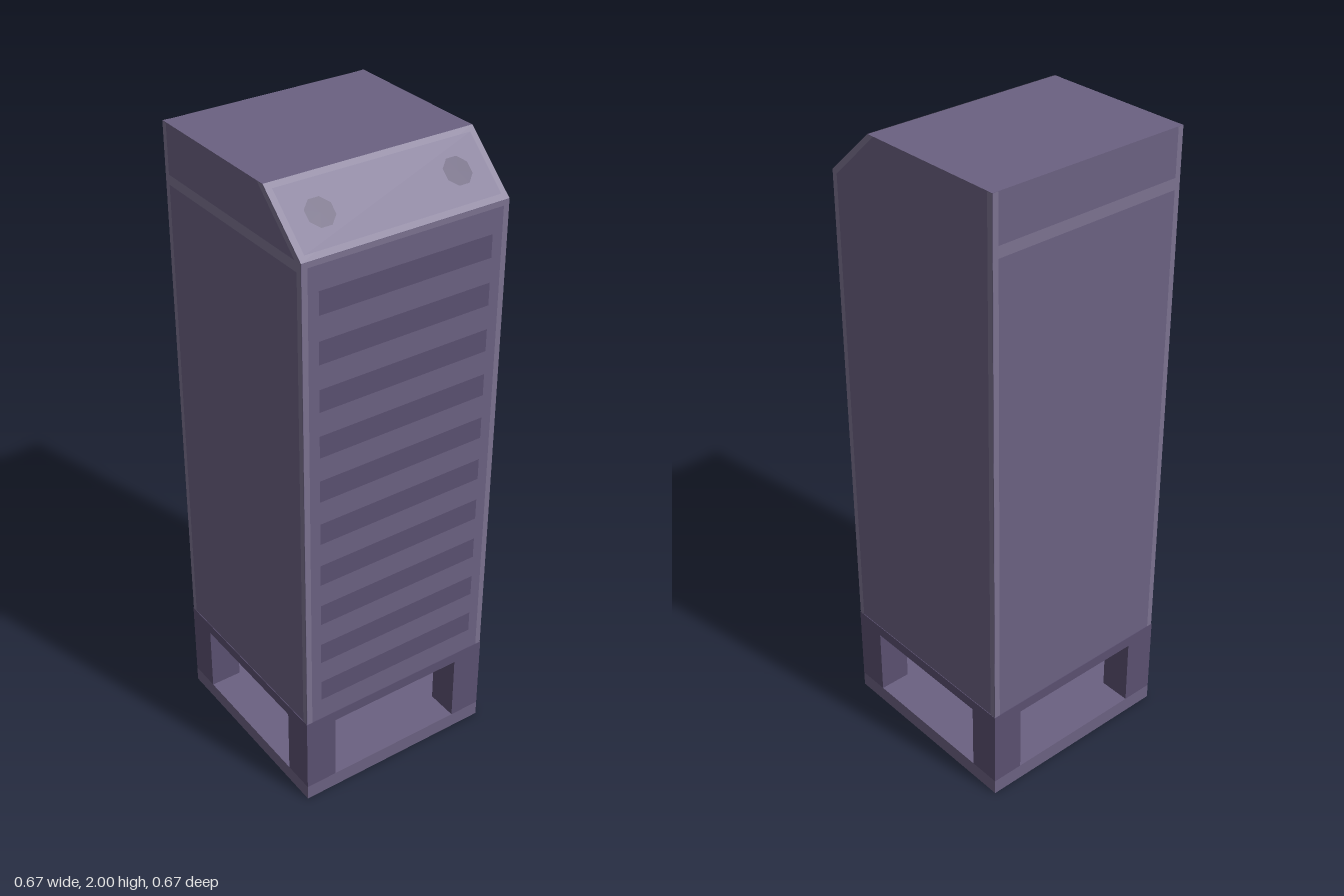
import * as THREE from 'three';

const HALF = 0.331;       // half width of the cabinet
const FOOT = 0.333;       // half width of the stand
const Y0 = 0.31, YS = 1.85, TOP = 2, ZS = 0.164; // body bottom, slope start, top, slope end
const LIFT = 0.0015;      // inlays sit just proud of the surface

const mat = (color) => new THREE.MeshStandardMaterial({ color, flatShading: true, side: THREE.DoubleSide });

export function createModel() {
  const model = new THREE.Group();
  const body = mat(0x6b6181), trim = mat(0x7b7290), dark = mat(0x5a5070), panelMat = mat(0x72688a);

  const add = (name, geometry, material, parent = model) => {
    const mesh = new THREE.Mesh(geometry, material);
    mesh.name = name;
    parent.add(mesh);
    return mesh;
  };
  const box = (name, w, h, d, x, y, z, material) =>
    add(name, new THREE.BoxGeometry(w, h, d), material).position.set(x, y, z);
  const inlay = (name, w, h, x, y, z, material, parent) => {
    const mesh = add(name, new THREE.PlaneGeometry(w, h), material, parent);
    mesh.position.set(x, y, z);
    return mesh;
  };
  const polygon = (pts) => new THREE.Shape(pts.map(([z, y]) => new THREE.Vector2(z, y)));

  // Cabinet: side profile swept across the width
  const profile = polygon([[-HALF, Y0], [HALF, Y0], [HALF, YS], [ZS, TOP], [-HALF, TOP]]);
  const cabinet = new THREE.ExtrudeGeometry(profile, { depth: 2 * HALF, bevelEnabled: false });
  cabinet.translate(0, 0, -HALF).rotateY(-Math.PI / 2);
  add('cabinet', cabinet, body);

  // Front louvres
  for (let i = 0; i < 10; i++)
    inlay('louvre', 0.56, 0.07, 0, 0.42 + 0.145 * i, HALF + LIFT, dark);

  // Front and back edge trim
  for (const s of [-1, 1]) {
    inlay('frontEdgeTrim', 0.018, YS - Y0, s * (HALF - 0.009), (Y0 + YS) / 2, HALF + LIFT, trim);
    inlay('backEdgeTrim', 0.018, TOP - Y0, s * (HALF - 0.009), (Y0 + TOP) / 2, -HALF - LIFT, trim).rotation.y = Math.PI;
  }
  inlay('frontTopTrim', 2 * HALF - 0.036, 0.016, 0, YS - 0.008, HALF + LIFT, trim);
  inlay('backBand', 2 * HALF - 0.036, 0.035, 0, 1.838, -HALF - LIFT, trim).rotation.y = Math.PI;

  // Side edge trim, mirrored, plus the band on one side
  const sideInlay = (name, pts, s) => {
    const g = new THREE.ShapeGeometry(polygon(pts)).rotateY(-Math.PI / 2);
    // the shape faces -x, so turn its winding over for the +x side
    if (s > 0) g.setIndex([...g.index.array].reverse()).computeVertexNormals();
    g.translate(s * (HALF + LIFT), 0, 0);
    add(name, g, trim);
  };
  const e = 0.018;
  for (const s of [-1, 1]) {
    sideInlay('sideFrontTrim', [[HALF - e, Y0], [HALF, Y0], [HALF, YS], [ZS, TOP], [ZS - 0.025, TOP], [HALF - e, YS - 0.008]], s);
    sideInlay('sideBackTrim', [[-HALF, Y0], [-HALF + e, Y0], [-HALF + e, TOP], [-HALF, TOP]], s);
  }
  sideInlay('sideBand', [[-HALF + e, 1.82], [HALF - e, 1.82], [HALF - e, YS], [-HALF + e, YS]], -1);

  // Sloped control panel with border and two round buttons
  const rise = TOP - YS, run = HALF - ZS, slope = Math.hypot(rise, run);
  const panel = new THREE.Group();
  panel.name = 'controlPanel';
  panel.position.set(0, (TOP + YS) / 2, (HALF + ZS) / 2);
  panel.rotation.x = -Math.atan2(run, rise);
  model.add(panel);
  inlay('panelBorder', 2 * HALF, slope, 0, 0, 0.001, trim, panel);
  inlay('panelFace', 2 * HALF - 0.036, slope - 0.036, 0, 0, 0.002, panelMat, panel);
  for (const s of [-1, 1]) {
    const button = add('button', new THREE.CircleGeometry(0.044, 8, Math.PI / 8), dark, panel);
    button.position.set(s * 0.218, 0, 0.003);
  }

  // Stand: base plate, corner posts and upper rails
  box('basePlate', 2 * FOOT, 0.05, 2 * FOOT, 0, 0.025, 0, body);
  const post = 0.103, inner = FOOT - post / 2;
  for (const sx of [-1, 1]) for (const sz of [-1, 1])
    box('cornerPost', post, Y0 - 0.05, post, sx * inner, (Y0 + 0.05) / 2, sz * inner, dark);
  const span = 2 * (FOOT - post);
  for (const s of [-1, 1]) {
    box('crossRail', span, 0.035, post, 0, Y0 - 0.0175, s * inner, dark);
    box('sideRail', post, 0.035, span, s * inner, Y0 - 0.0175, 0, dark);
  }
  return model;
}
